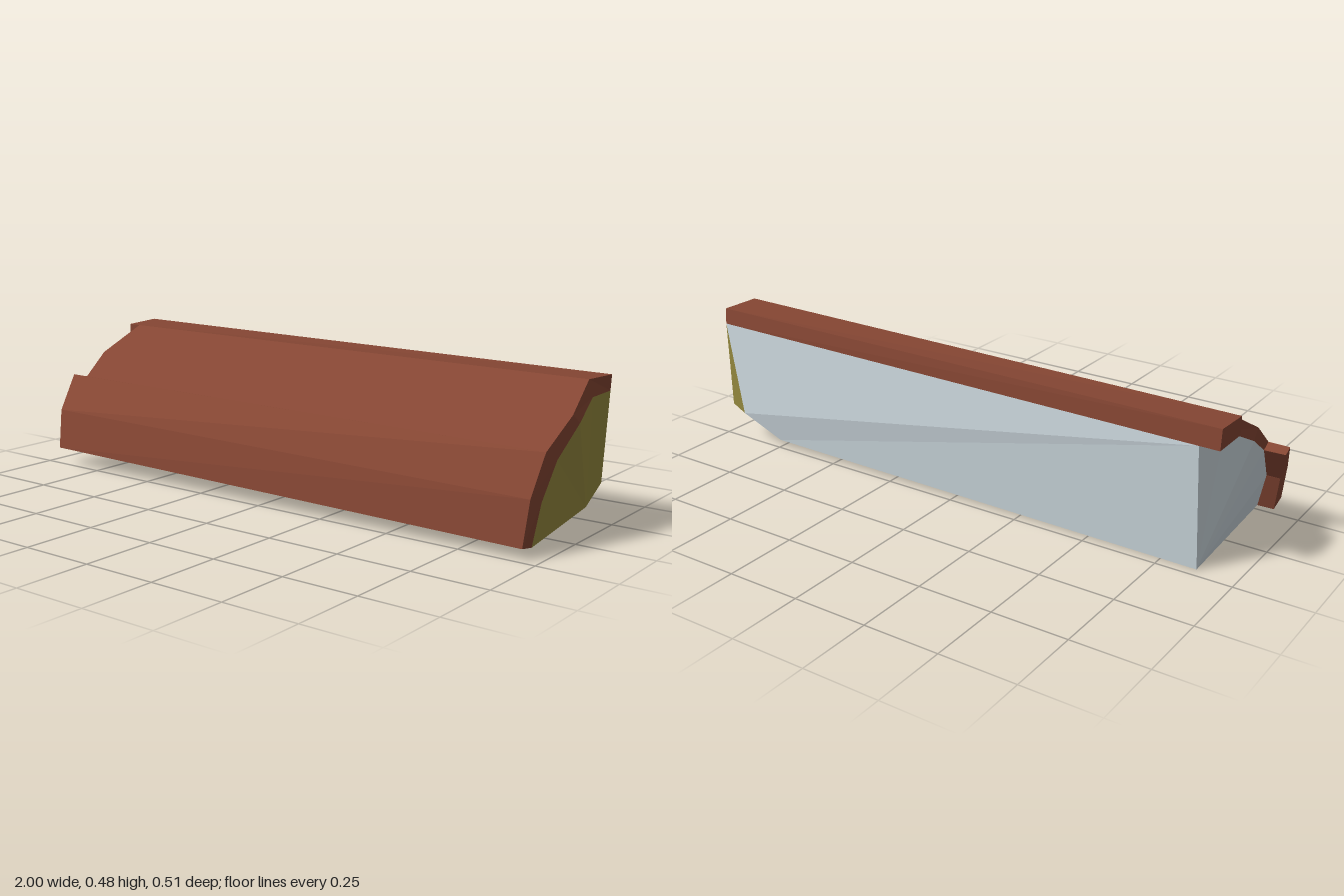
import * as THREE from 'three';

const V = (x, y, z) => new THREE.Vector3(x, y, z);

// Flat-faced mesh from a list of convex polygons, each fanned from its first corner
function facetMesh(name, polygons, material) {
  const pts = [];
  for (const p of polygons)
    for (let i = 1; i < p.length - 1; i++) pts.push(p[0], p[i], p[i + 1]);
  const geometry = new THREE.BufferGeometry().setFromPoints(pts);
  geometry.computeVertexNormals();
  const mesh = new THREE.Mesh(geometry, material);
  mesh.name = name;
  return mesh;
}

// Turns every polygon to face away from a point inside the solid
function outward(polygons, inside) {
  return polygons.map((p) => {
    const n = V(0, 0, 0);
    for (let i = 1; i < p.length - 1; i++)
      n.add(p[i].clone().sub(p[0]).cross(p[i + 1].clone().sub(p[0])));
    return n.dot(p[0].clone().sub(inside)) < 0 ? [...p].reverse() : p;
  });
}

export function createModel() {
  const material = (name, color) =>
    new THREE.MeshStandardMaterial({ name, color, flatShading: true, side: THREE.DoubleSide });
  const bark = material('bark', 0x854633);
  const cutWood = material('cut wood', 0x998c40);
  const splitWood = material('split wood', 0xd0dce2);

  // Bark edge at the clean-cut end, from front bottom to back top
  const cutOuter = [V(0.95, 0.035, 0.235), V(0.957, 0.175, 0.21), V(0.967, 0.3, 0.145),
    V(0.992, 0.392, 0.037), V(0.975, 0.475, -0.095), V(0.985, 0.472, -0.23)];
  const cutInner = [V(0.95, 0.025, 0.178), V(0.965, 0.155, 0.157), V(0.98, 0.27, 0.1),
    V(1, 0.365, 0.005), V(0.982, 0.42, -0.11), V(0.978, 0.42, -0.24)];

  // Bark edge at the torn end, with a notch between two tongues
  const tornOuter = [V(-0.935, 0.06, 0.257), V(-0.96, 0.192, 0.22), V(-1, 0.305, 0.115),
    V(-0.93, 0.305, 0.116), V(-0.93, 0.385, 0.025), V(-0.885, 0.474, -0.119),
    V(-0.935, 0.474, -0.12), V(-0.935, 0.48, -0.25)];
  const tornInner = [V(-0.935, 0.042, 0.2), V(-0.96, 0.17, 0.165), V(-1, 0.29, 0.085),
    V(-0.93, 0.289, 0.085), V(-0.93, 0.35, 0), V(-0.885, 0.414, -0.12),
    V(-0.935, 0.414, -0.12), V(-0.935, 0.415, -0.257)];
  const match = [0, 1, 2, 2, 3, 4, 4, 5];
  const co = match.map((i) => cutOuter[i]);
  const ci = match.map((i) => cutInner[i]);

  // Bark shell
  const shell = [];
  for (let i = 0; i < 7; i++) {
    const j = i + 1;
    shell.push([tornOuter[i], co[i], co[j], tornOuter[j]]);
    shell.push([tornInner[j], ci[j], ci[i], tornInner[i]]);
    shell.push([co[i], ci[i], ci[j], co[j]]);
    shell.push([tornOuter[i], tornOuter[j], tornInner[j], tornInner[i]]);
  }
  shell.push([tornOuter[0], tornInner[0], ci[0], co[0]]);
  shell.push([tornOuter[7], co[7], ci[7], tornInner[7]]);

  // Corners of the split wedge and its chipped corner
  const heart = V(0.955, 0.07, -0.155);
  const backEdge = V(0.955, 0.125, -0.257);
  const chip = [V(0.91, 0.095, -0.251), V(0.9, 0.055, -0.175), V(0.88, 0.025, 0),
    V(0.85, 0.026, 0.179)];
  const ridgeCut = V(0.76, 0.02, -0.233);
  const ridgeTorn = V(-0.87, 0, -0.215);
  const inside = V(0, 0.22, -0.08);

  // Edge of the torn end, set on the inner lines of the bark
  const endX = [-0.88, -0.915, -0.93, -0.93, -0.93, -0.885, -0.885, -0.87];
  const tornEdge = tornInner.map((p, i) =>
    p.clone().lerp(ci[i], (endX[i] - p.x) / (ci[i].x - p.x)));

  // Clean-cut end, fanned from the heart, with a narrow bevel behind and below
  const cutFaces = [];
  for (let i = 0; i < 5; i++) cutFaces.push([heart, cutInner[i], cutInner[i + 1]]);
  cutFaces.push([heart, cutInner[5], backEdge]);
  cutFaces.push([cutInner[5], backEdge, chip[0]]);
  cutFaces.push([heart, backEdge, chip[0], chip[1]]);
  cutFaces.push([heart, chip[1], chip[2], cutInner[0]]);
  cutFaces.push([chip[2], chip[3], cutInner[0]]);

  // Split back, underside and chipped corner
  const splitFaces = [
    [tornEdge[7], cutInner[5], chip[0], ridgeCut],
    [tornEdge[7], ridgeCut, ridgeTorn],
    [ridgeCut, chip[0], chip[1]],
    [ridgeCut, chip[1], chip[2]],
    [ridgeCut, chip[2], chip[3]],
    [ridgeTorn, ridgeCut, chip[3], tornEdge[0]],
  ];

  // Torn end, fanned from the ridge
  const tornFaces = [];
  for (let i = 0; i < 7; i++) tornFaces.push([ridgeTorn, tornEdge[i], tornEdge[i + 1]]);

  const group = new THREE.Group();
  group.name = 'splitLog';
  group.add(
    facetMesh('bark', shell, bark),
    facetMesh('cutEnd', outward(cutFaces, inside), cutWood),
    facetMesh('splitSides', outward(splitFaces, inside), splitWood),
    facetMesh('tornEnd', outward(tornFaces, inside), splitWood),
  );
  return group;
}
